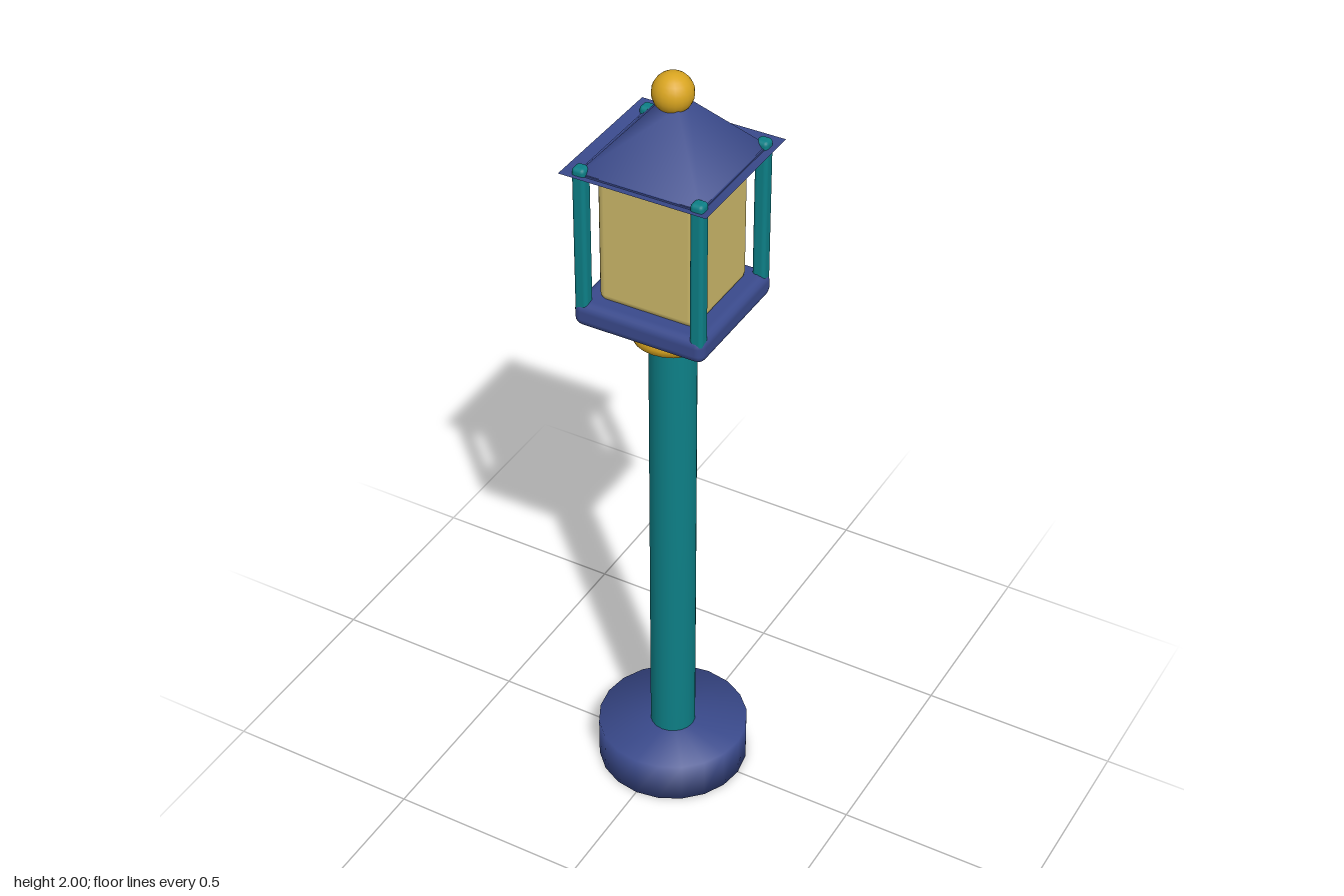
import * as THREE from 'three';
import { mergeVertices } from 'three/addons/utils/BufferGeometryUtils.js';
import { RoundedBoxGeometry } from 'three/addons/geometries/RoundedBoxGeometry.js';

// Share vertices so the shading rolls over the edges
function soften(geometry) {
  geometry.deleteAttribute('normal');
  geometry.deleteAttribute('uv');
  const welded = mergeVertices(geometry, 1e-4);
  welded.computeVertexNormals();
  return welded;
}

export function createModel() {
  const group = new THREE.Group();
  const material = (name, color, side = THREE.FrontSide) => {
    const m = new THREE.MeshStandardMaterial({ color, side });
    m.name = name;
    return m;
  };
  const navy = material('navy', 0x3a4a8c, THREE.DoubleSide);
  const teal = material('teal', 0x0d7f86);
  const gold = material('gold', 0xd9a520);
  const glass = material('pale glass', 0xcdb96a);

  const add = (name, geometry, mat, y, x = 0, z = 0) => {
    const mesh = new THREE.Mesh(geometry, mat);
    mesh.name = name;
    mesh.position.set(x, y, z);
    group.add(mesh);
    return mesh;
  };
  // Four-sided frustum given by half widths
  const frustum = (top, bottom, height) =>
    new THREE.CylinderGeometry(top * Math.SQRT2, bottom * Math.SQRT2, height, 4, 1, true)
      .rotateY(Math.PI / 4);

  // Foot, pole and collar
  add('base', soften(new THREE.CylinderGeometry(0.19, 0.19, 0.11, 20)), navy, 0.055);
  add('pole', soften(new THREE.CylinderGeometry(0.057, 0.057, 1.3, 20)), teal, 0.74);
  add('collar', new THREE.TorusGeometry(0.076, 0.028, 8, 24).rotateX(Math.PI / 2), gold, 1.333);

  // Lantern body
  add('lanternFloor', new RoundedBoxGeometry(0.335, 0.064, 0.335, 2, 0.022), navy, 1.415);
  add('lampGlass', new RoundedBoxGeometry(0.25, 0.34, 0.25, 2, 0.02), glass, 1.61);
  for (const x of [-1, 1]) {
    for (const z of [-1, 1]) {
      add('cornerPost', new RoundedBoxGeometry(0.033, 0.38, 0.033, 2, 0.01), teal, 1.61, x * 0.147, z * 0.147);
    }
  }

  // Roof with a slightly upturned eave and a ball on top
  add('roof', soften(frustum(0.025, 0.155, 0.15)), navy, 1.855);
  add('eave', frustum(0.183, 0.155, 0.01), navy, 1.785);
  add('ceiling', new THREE.BoxGeometry(0.31, 0.004, 0.31), navy, 1.782);
  add('finial', new THREE.SphereGeometry(0.048, 20, 14), gold, 1.952);

  return group;
}
